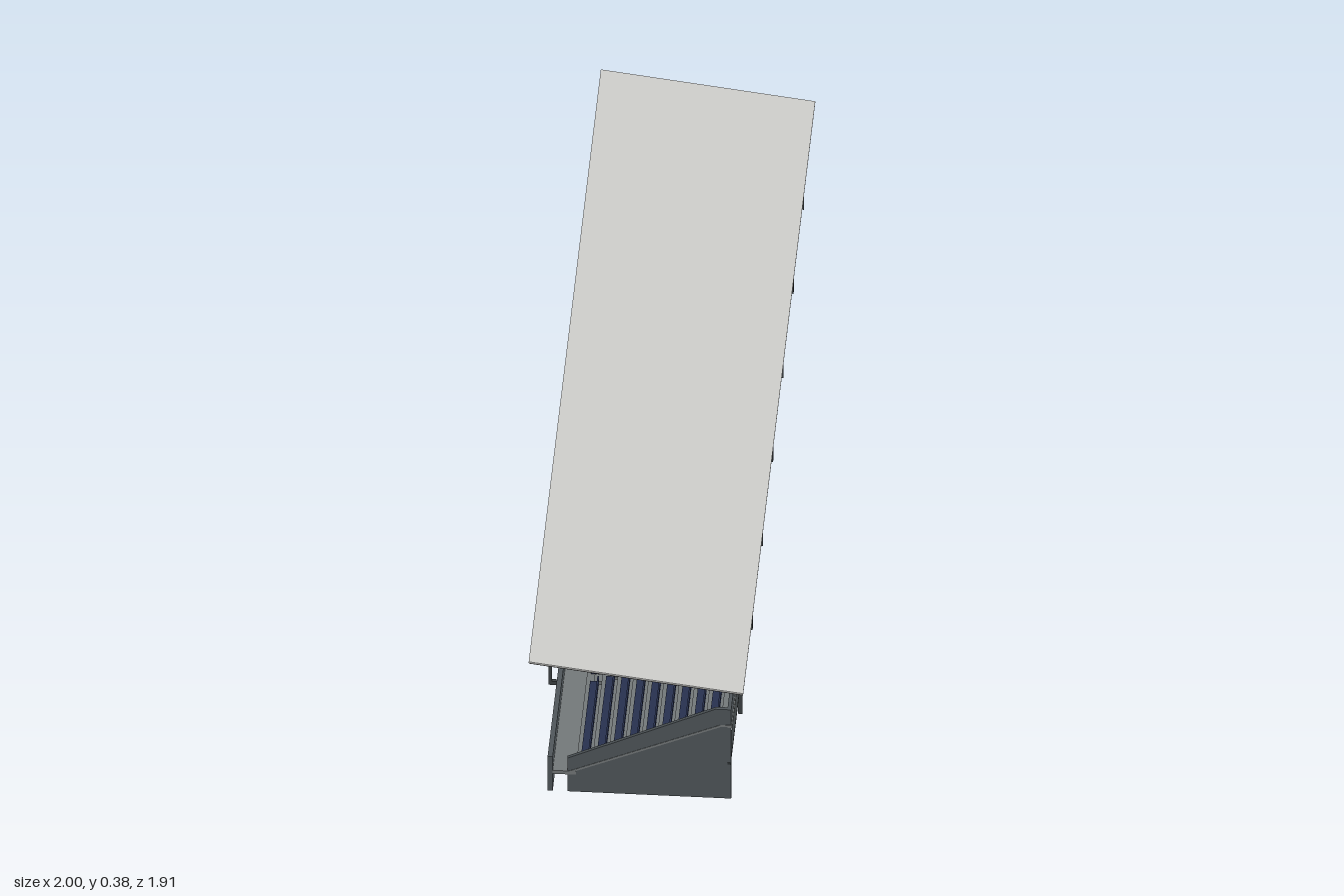
import * as THREE from 'three';

const mat = (name, color) => {
  const m = new THREE.MeshStandardMaterial({ color });
  m.name = name;
  return m;
};

export function createModel() {
  const wallMat = mat('dark wall cladding', 0x50575b);
  const concrete = mat('concrete', 0x74797a);
  const soffitMat = mat('dark soffit', 0x525252);
  const roofMat = mat('roof sheet', 0xcbcbc8);
  const steel = mat('dark steel', 0x3c4143);
  const seatMat = mat('navy seat', 0x28314f);

  const model = new THREE.Group();
  model.name = 'grandstand';
  const stand = new THREE.Group();
  stand.name = 'stand';
  stand.rotation.y = THREE.MathUtils.degToRad(-43);
  model.add(stand);

  const L = 1.1325; // half length
  const bays = 7, pitch = (2 * L - 0.016) / bays;
  const frameX = (i) => -L + 0.008 + i * pitch;

  // Prism along x from a side profile of [depth toward back, height] points
  function prism(name, pts, x0, x1, material, parent = stand) {
    const shape = new THREE.Shape(pts.map(([b, y]) => new THREE.Vector2(b, y)));
    const geo = new THREE.ExtrudeGeometry(shape, { depth: x1 - x0, bevelEnabled: false });
    geo.rotateY(Math.PI / 2).translate(x0, 0, 0);
    const mesh = new THREE.Mesh(geo, material);
    mesh.name = name;
    parent.add(mesh);
  }

  // Box between limits: x, y and depth toward back
  function block(name, x0, x1, y0, y1, b0, b1, material, parent = stand) {
    const mesh = new THREE.Mesh(new THREE.BoxGeometry(x1 - x0, y1 - y0, b1 - b0), material);
    mesh.position.set((x0 + x1) / 2, (y0 + y1) / 2, -(b0 + b1) / 2);
    mesh.name = name;
    parent.add(mesh);
  }

  // Front wall and raised walkway
  block('frontWall', -L, L, 0, 0.1, -0.206, -0.194, wallMat);
  block('walkway', -L, L, 0.05, 0.06, -0.194, -0.14, concrete);

  // Stepped terrace with sloping underside
  const rows = 9, run = 0.0375, rise = 0.016, b0 = -0.14, y0 = 0.075;
  const profile = [[-0.16, 0.05], [0.215, 0.21], [0.215, 0.222], [b0 + rows * run, 0.222]];
  for (let i = rows - 1; i >= 0; i--) {
    profile.push([b0 + (i + 1) * run, y0 + i * rise], [b0 + i * run, y0 + i * rise]);
  }
  profile.push([b0, 0.06], [-0.16, 0.06]);
  prism('terrace', profile, -L + 0.01, L - 0.01, concrete);
  prism('terraceSoffit', [[-0.16, 0.044], [0.215, 0.204], [0.215, 0.21], [-0.16, 0.05]],
    -L + 0.01, L - 0.01, soffitMat);

  // Seat rows, split by stair aisles at the inner frames
  const seats = new THREE.Group();
  seats.name = 'seats';
  stand.add(seats);
  const aisle = 0.016;
  for (let r = 0; r < rows; r++) {
    const b = b0 + r * run, y = y0 + r * rise;
    for (let i = 0; i < bays; i++) {
      const x0 = i ? frameX(i) + aisle : -L + 0.015;
      const x1 = i < bays - 1 ? frameX(i + 1) - aisle : L - 0.015;
      block('seatBase', x0, x1, y + 0.006, y + 0.011, b + 0.01, b + 0.028, seatMat, seats);
      block('seatBack', x0, x1, y + 0.008, y + 0.026, b + 0.027, b + 0.031, seatMat, seats);
    }
    // Half-height stair treads in the aisles
    for (let i = 1; i < bays; i++) {
      block('aisleStep', frameX(i) - aisle + 0.002, frameX(i) + aisle - 0.002,
        y, y + rise / 2, b + run / 2, b + run, concrete);
    }
  }

  // Side walls with the slab edge showing as a thin strip
  for (const s of [-1, 1]) {
    const xs = (a, b) => (s > 0 ? [a, b] : [-b, -a]);
    prism('sideWall', [[-0.16, 0], [0.222, 0], [0.222, 0.26], [0.186, 0.26], [-0.16, 0.097]],
      ...xs(L - 0.01, L - 0.001), wallMat);
    prism('slabEdge', [[-0.16, 0.052], [0.2, 0.21], [0.222, 0.21], [0.222, 0.215], [0.198, 0.215], [-0.16, 0.058]],
      ...xs(L - 0.001, L), concrete);
  }

  // Back parapet and rails
  block('backParapet', -L + 0.01, L - 0.01, 0.21, 0.26, 0.213, 0.222, wallMat);
  block('parapetSill', -L, L, 0.208, 0.213, 0.212, 0.225, concrete);
  block('backRail', -L, L, 0.099, 0.105, 0.214, 0.221, steel);

  // Roof sheet with dark underside
  const roofY = (b) => 0.3425 - b * 0.13;
  const slab = (b1, b2, top, bottom) => [
    [b1, roofY(b1) - bottom], [b2, roofY(b2) - bottom], [b2, roofY(b2) - top], [b1, roofY(b1) - top]];
  prism('roofSheet', slab(-0.25, 0.25, 0, 0.003), -L, L, roofMat);
  prism('roofSoffit', slab(-0.249, 0.249, 0.003, 0.006), -L + 0.001, L - 0.001, soffitMat);

  // Frames: back column, inner column, front post and tapered rafter
  for (let i = 0; i < bays; i++) {
    const x = frameX(i), w = 0.0045;
    block('backColumn', x - w, x + w, 0, roofY(0.22) - 0.005, 0.214, 0.224, steel);
    block('innerColumn', x - w, x + w, 0, 0.122, -0.036, -0.028, steel);
    block('frontPost', x - w, x + w, 0.06, roofY(-0.225) - 0.005, -0.228, -0.22, steel);
    prism('rafter', [[-0.24, roofY(-0.24) - 0.009], [0.12, roofY(0.12) - 0.012], [0.224, roofY(0.224) - 0.022],
      [0.224, roofY(0.224) - 0.005], [-0.24, roofY(-0.24) - 0.005]], x - 0.003, x + 0.003, steel);
    block('postBracket', x - w, x + w, 0.06, 0.07, -0.228, -0.205, steel);
  }

  return model;
}
